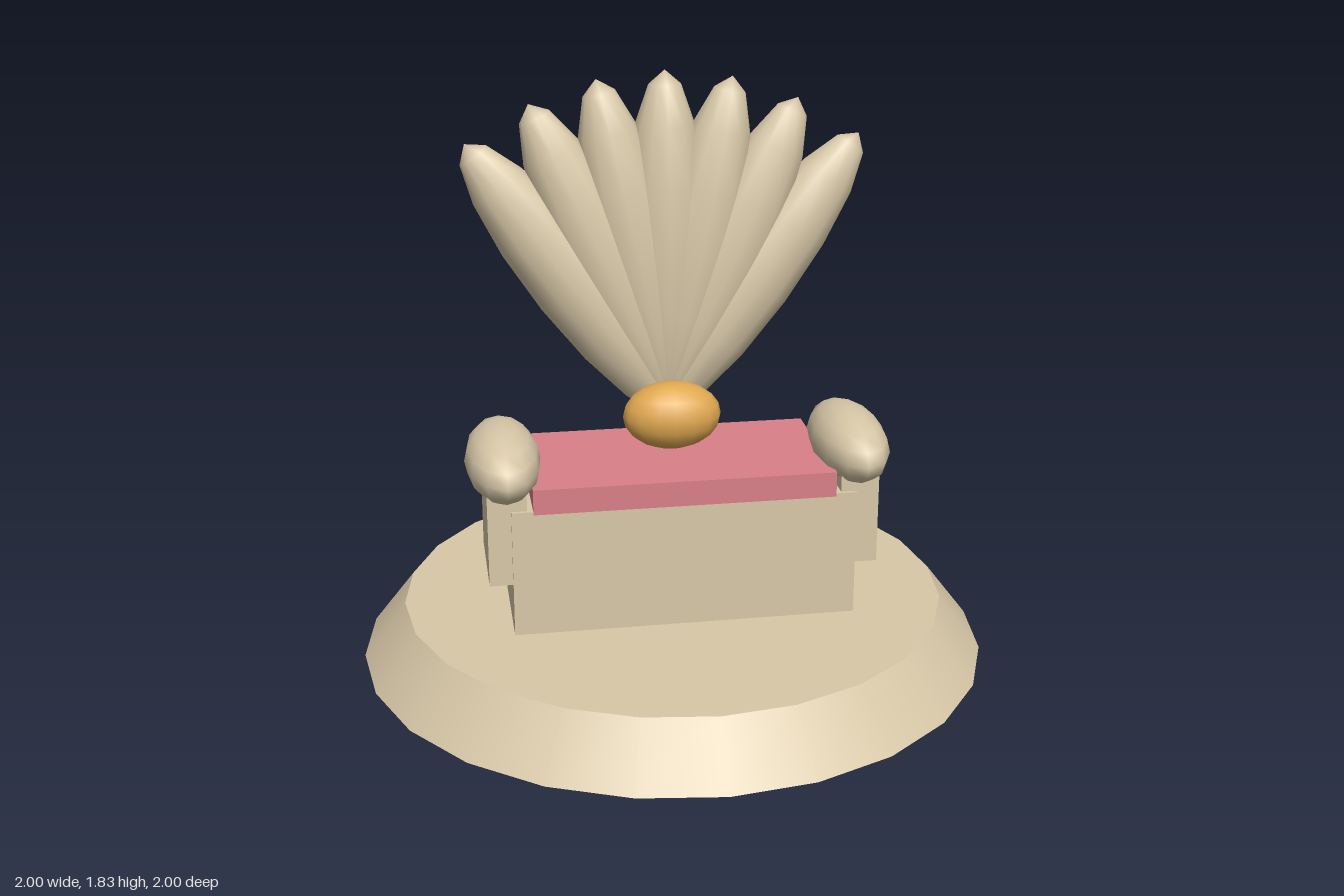
import * as THREE from 'three';

export function createModel() {
  const model = new THREE.Group();
  const mat = (name, color) => {
    const m = new THREE.MeshStandardMaterial({ color });
    m.name = name;
    return m;
  };
  const sand = mat('sand', 0xd8c8a8);
  const pink = mat('cushion pink', 0xd98088);
  const gold = mat('gold', 0xe0a850);

  const add = (name, geometry, material, x, y, z) => {
    const mesh = new THREE.Mesh(geometry, material);
    mesh.name = name;
    mesh.position.set(x, y, z);
    model.add(mesh);
    return mesh;
  };
  const box = (w, h, d) => new THREE.BoxGeometry(w, h, d);
  const ellipsoid = (rx, ry, rz, sides = 12, rings = 8) =>
    new THREE.SphereGeometry(1, sides, rings).scale(rx, ry, rz);

  // Round tapered plinth
  add('plinth', new THREE.CylinderGeometry(0.865, 1, 0.175, 24), sand, 0, 0.0875, 0);

  // Seat block and cushion
  add('seat', box(1.068, 0.405, 0.562), sand, 0, 0.3775, 0);
  add('cushion', box(0.936, 0.08, 0.493), pink, 0, 0.61, 0.036);

  // Armrests: a post topped by a rounded pad on each side
  for (const [side, s] of [['left', 1], ['right', -1]]) {
    add(side + 'ArmPost', box(0.12, 0.34, 0.332), sand, s * 0.546, 0.51, 0.104);
    add(side + 'ArmPad', ellipsoid(0.117, 0.108, 0.262), sand, s * 0.546, 0.688, 0.103);
  }

  // Fan of seven petals forming the backrest
  const petal = ellipsoid(0.133, 0.565, 0.119);
  for (let i = -3; i <= 3; i++) {
    const mesh = add('backPetal' + (i + 4), petal, sand, 0.095 * i, 1.266 - 0.0115 * i * i, -0.149);
    mesh.rotation.z = THREE.MathUtils.degToRad(-12 * i);
  }

  // Gold knob at the root of the fan
  add('knob', ellipsoid(0.157, 0.109, 0.104, 16, 10), gold, 0, 0.763, -0.007);

  return model;
}
